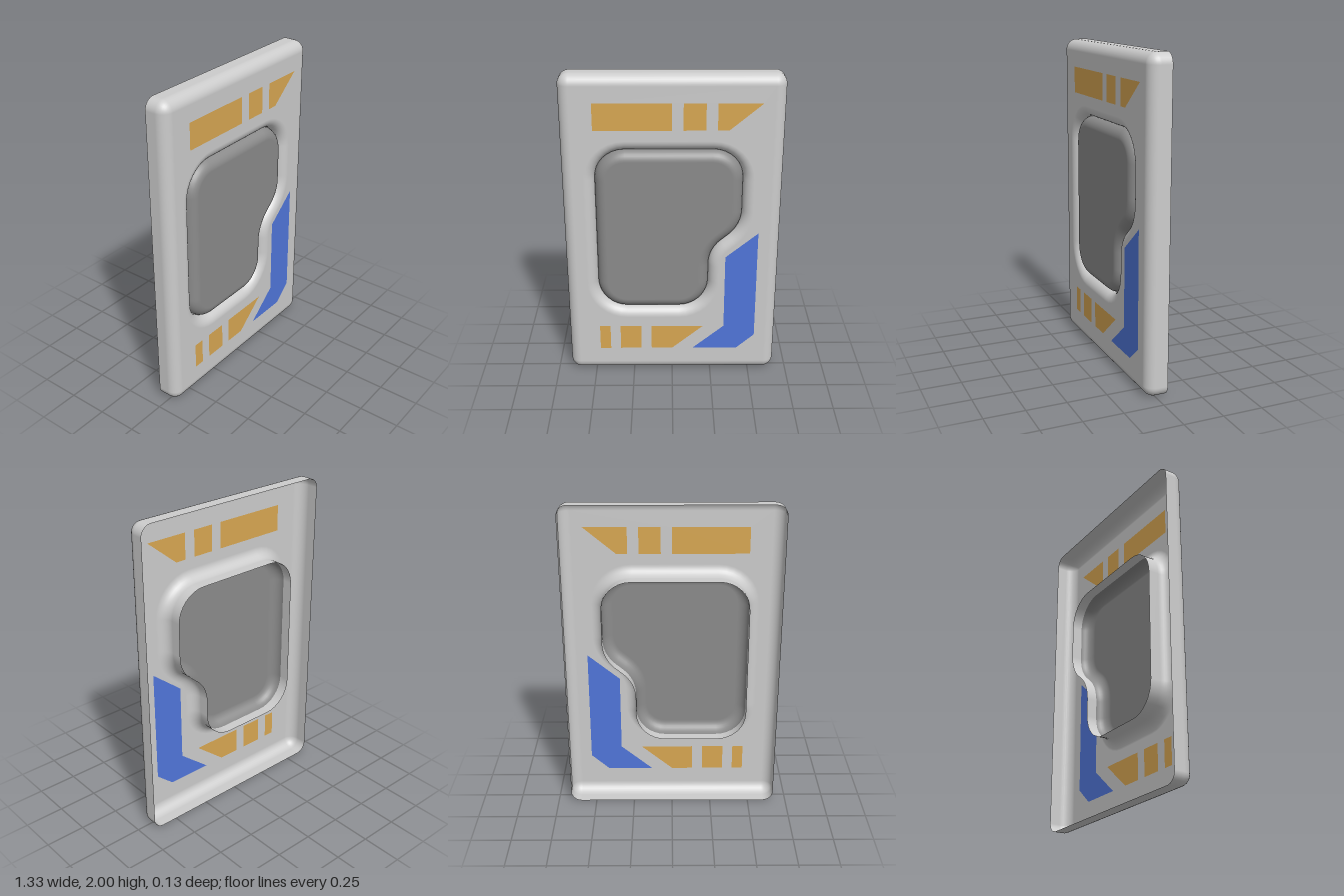
import * as THREE from 'three';

const R = 0.0665; // edge rounding, also half the depth

const mat = (name, color) => {
  const m = new THREE.MeshStandardMaterial({ color, side: THREE.DoubleSide });
  m.name = name;
  return m;
};

// Counter-clockwise polygon of [x, y, radius] -> rounded outline of {p, n}
function roundedOutline(corners, steps = 8) {
  const out = [];
  const count = corners.length;
  corners.forEach(([x, y, r], i) => {
    const p = new THREE.Vector2(x, y);
    const [ax, ay] = corners[(i + count - 1) % count];
    const [bx, by] = corners[(i + 1) % count];
    const d1 = new THREE.Vector2(x - ax, y - ay).normalize();
    const d2 = new THREE.Vector2(bx - x, by - y).normalize();
    const turn = Math.atan2(d1.cross(d2), d1.dot(d2));
    const s = Math.sign(turn);
    const n1 = new THREE.Vector2(d1.y, -d1.x);
    const n2 = new THREE.Vector2(d2.y, -d2.x);
    const centre = p.clone().addScaledVector(n1.clone().add(n2), -s * r / (1 + n1.dot(n2)));
    for (let k = 0; k <= steps; k++) {
      const t = n1.angle() + turn * k / steps;
      const n = new THREE.Vector2(Math.cos(t), Math.sin(t));
      out.push({ p: centre.clone().addScaledVector(n, s * r), n });
    }
  });
  return out;
}

const offset = (outline, o) => outline.map(({ p, n }) => p.clone().addScaledVector(n, o));

// Quarter-round profile from the outline (z = 0) to the front (z = R)
function quarterRound(sign, steps = 8) {
  return Array.from({ length: steps + 1 }, (_, k) => {
    const a = Math.PI / 2 * k / steps;
    return { o: sign * (Math.cos(a) - 1) * R, z: R * Math.sin(a), no: sign * Math.cos(a), nz: Math.sin(a) };
  });
}

// Sweep a profile of offsets and depths around a closed outline
function sweep(outline, profile) {
  const pos = [], nor = [], idx = [];
  const m = profile.length, count = outline.length;
  outline.forEach(({ p, n }, i) => {
    const next = (i + 1) % count;
    profile.forEach(({ o, z, no, nz }, j) => {
      pos.push(p.x + n.x * o, p.y + n.y * o, z);
      nor.push(n.x * no, n.y * no, nz);
      if (j < m - 1) {
        const a = i * m + j, b = next * m + j;
        idx.push(a, b, b + 1, a, b + 1, a + 1);
      }
    });
  });
  const g = new THREE.BufferGeometry();
  g.setAttribute('position', new THREE.Float32BufferAttribute(pos, 3));
  g.setAttribute('normal', new THREE.Float32BufferAttribute(nor, 3));
  g.setIndex(idx);
  return g;
}

const flat = (points, holes = []) => {
  const shape = new THREE.Shape(points);
  shape.holes = holes.map((h) => new THREE.Path(h));
  return new THREE.ShapeGeometry(shape).translate(0, 0, R);
};

export function createModel() {
  const group = new THREE.Group();
  const shellMat = mat('light grey', 0xcccccc);
  const panelMat = mat('dark grey', 0x8b8b8b);
  const orangeMat = mat('orange', 0xd8a752);
  const blueMat = mat('blue', 0x5076da);
  const add = (name, geometry, material) => {
    const mesh = new THREE.Mesh(geometry, material);
    mesh.name = name;
    group.add(mesh);
  };

  const border = roundedOutline([
    [-0.6665, 0, R], [0.6665, 0, R], [0.6665, 2, R], [-0.6665, 2, R],
  ]);
  const opening = roundedOutline([
    [-0.47, 0.468, 0.185], [0.228, 0.468, 0.185], [0.228, 0.868, 0.22],
    [0.43, 1.036, 0.22], [0.43, 1.535, 0.185], [-0.47, 1.535, 0.185],
  ]);

  // Flat markings set into the front face
  const lo = 0.168, hi = 0.335, lo2 = 1.668, hi2 = 1.833;
  const box = (x0, x1, y0, y1) => [[x0, y0], [x1, y0], [x1, y1], [x0, y1]];
  const toVec = (list) => list.map(([x, y]) => new THREE.Vector2(x, y));
  const orange = [
    box(-0.468, 0, lo2, hi2),
    box(0.067, 0.2, lo2, hi2),
    [[0.268, lo2], [0.335, lo2], [0.533, hi2], [0.268, hi2]],
    box(-0.468, -0.4, lo, hi),
    box(-0.335, -0.2, lo, hi),
    [[-0.134, lo], [0, lo], [0.2, hi], [-0.134, hi]],
  ].map(toVec);
  const blue = toVec([[0.134, lo], [0.42, lo], [0.533, 0.268], [0.533, 1], [0.333, 0.835], [0.333, hi]]);
  orange.forEach((points, i) => add(`orangeStripe${i + 1}`, flat(points), orangeMat));
  add('blueStripe', flat(blue), blueMat);

  // Open-backed shell: front face, rounded border and the lip around the opening
  add('frontFace', flat(offset(border, -R), [offset(opening, R), blue, ...orange]), shellMat);
  const back = (no) => ({ o: 0, z: -R, no, nz: 0 });
  add('outerRim', sweep(border, [back(1), ...quarterRound(1)]), shellMat);
  add('openingLip', sweep(opening, [...quarterRound(-1).reverse(), back(-1)]), shellMat);

  // Cushion-edged panel filling the opening
  add('panelEdge', sweep(opening, quarterRound(1)), panelMat);
  add('panelFace', flat(offset(opening, -R)), panelMat);

  return group;
}
